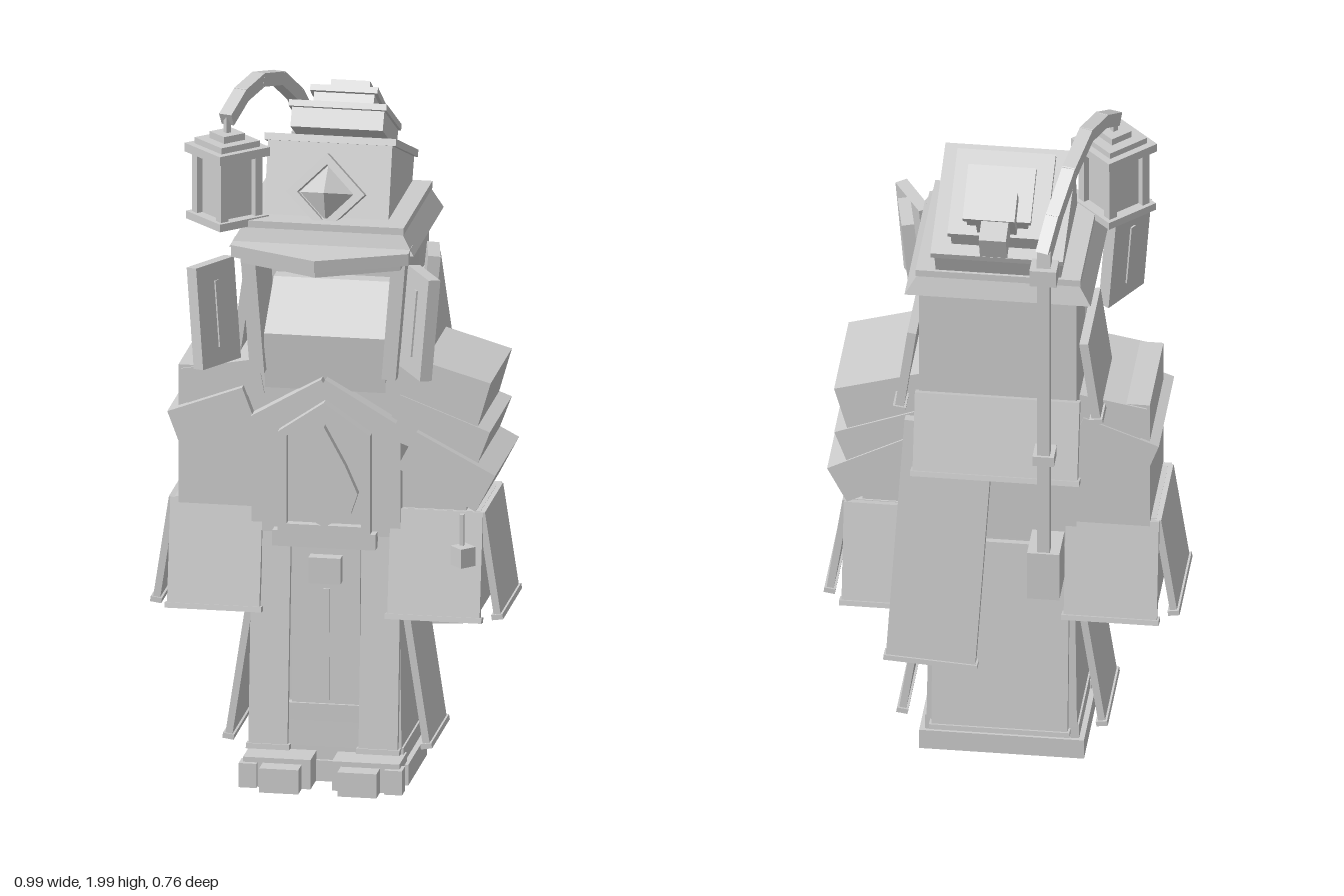
import * as THREE from 'three';

const stone = new THREE.MeshStandardMaterial({ color: 0xcccccc });
stone.name = 'light stone grey';

export function createModel() {
  const model = new THREE.Group();
  model.name = 'hoodedLanternKeeper';

  function add(name, geo, x = 0, y = 0, z = 0, rx = 0, ry = 0, rz = 0, parent = model) {
    const m = new THREE.Mesh(geo, stone);
    m.name = name;
    m.position.set(x, y, z);
    m.rotation.set(rx, ry, rz);
    parent.add(m);
    return m;
  }
  const box = (name, w, h, d, x, y, z, rx, ry, rz, parent) =>
    add(name, new THREE.BoxGeometry(w, h, d), x, y, z, rx, ry, rz, parent);

  // Box whose top has its own width and depth
  function frustum(w0, d0, w1, d1, h) {
    const g = new THREE.BoxGeometry(1, h, 1);
    const p = g.attributes.position;
    for (let i = 0; i < p.count; i++) {
      const top = p.getY(i) > 0;
      p.setX(i, p.getX(i) * (top ? w1 : w0));
      p.setZ(i, p.getZ(i) * (top ? d1 : d0));
    }
    g.computeVertexNormals();
    return g;
  }

  // Flat outline pushed out along z, with optional hole
  function plate(points, depth, hole) {
    const s = new THREE.Shape(points.map(p => new THREE.Vector2(...p)));
    if (hole) s.holes.push(new THREE.Path(hole.map(p => new THREE.Vector2(...p))));
    return new THREE.ExtrudeGeometry(s, { depth, bevelEnabled: false });
  }

  // Side outline given as [z, y], pushed along x and centred
  const sideProfile = (name, points, width) =>
    add(name, plate(points.map(([z, y]) => [-z, y]), width), -width / 2, 0, 0, 0, Math.PI / 2);

  // Square bar between two points
  function bar(name, a, b, t) {
    const A = new THREE.Vector3(...a), B = new THREE.Vector3(...b);
    const m = box(name, t, t, A.distanceTo(B) + t * 0.3, 0, 0, 0);
    m.position.copy(A).add(B).multiplyScalar(0.5);
    m.lookAt(B);
  }

  // Cloth panel hung from its top edge, with a hem along the bottom
  function panel(name, w, h, t, x, y, z, rx, ry, rz) {
    const g = new THREE.Group();
    g.name = name;
    g.position.set(x, y, z);
    g.rotation.set(rx, ry, rz);
    box(name + 'Cloth', w, h, t, 0, -h / 2, 0, 0, 0, 0, g);
    box(name + 'Hem', w + 0.012, 0.015, t + 0.012, 0, -h + 0.008, 0, 0, 0, 0, g);
    model.add(g);
  }

  // Base and feet
  box('base', 0.46, 0.06, 0.30, 0, 0.03, -0.01);
  box('baseStep', 0.43, 0.05, 0.28, 0, 0.08, -0.01);
  for (const s of [-1, 1]) {
    box('foot', 0.19, 0.085, 0.12, s * 0.125, 0.043, 0.165);
    box('toe', 0.11, 0.07, 0.08, s * 0.11, 0.036, 0.24);
    box('outerToe', 0.05, 0.07, 0.05, s * 0.205, 0.036, 0.215);
  }

  // Robe
  add('robe', frustum(0.42, 0.29, 0.40, 0.27, 0.68), 0, 0.44, -0.01);
  box('torso', 0.42, 0.48, 0.32, 0, 0.96, -0.01);
  for (const s of [-1, 1]) {
    panel('robeFrontPanel', 0.11, 0.62, 0.018, s * 0.155, 0.72, 0.135, -0.09, 0, 0);
    panel('robeSidePanel', 0.02, 0.50, 0.27, s * 0.205, 0.60, -0.01, 0, 0, s * 0.15);
  }
  panel('robeBackPanel', 0.38, 0.60, 0.02, 0, 0.70, -0.155, 0.08, 0, 0);
  box('apron', 0.19, 0.50, 0.03, 0, 0.47, 0.13, -0.03);
  box('apronSeam', 0.02, 0.32, 0.03, 0, 0.40, 0.138, -0.03);
  box('apronBand', 0.21, 0.05, 0.03, 0, 0.205, 0.145);
  box('beltBuckle', 0.09, 0.075, 0.04, 0, 0.62, 0.155);

  // Chest shrine with a gable and drop
  const frame = [[-0.13, 0.73], [0.13, 0.73], [0.13, 1.02], [0, 1.11], [-0.13, 1.02]];
  add('shrineBack', plate(frame, 0.03), 0, 0, 0.13);
  add('shrineFrame', plate(frame, 0.025,
    [[-0.105, 0.755], [0.105, 0.755], [0.105, 1.01], [0, 1.08], [-0.105, 1.01]]), 0, 0, 0.16);
  box('shrineSill', 0.29, 0.045, 0.07, 0, 0.712, 0.15);
  for (const s of [-1, 1])
    box('gable', 0.23, 0.04, 0.08, s * 0.095, 1.105, 0.155, 0, 0, -s * 0.53);
  const drop = k => [[0, 0.14], [0.06, 0.03], [0.095, -0.05], [0.075, -0.11], [0, -0.15],
    [-0.075, -0.11], [-0.095, -0.05], [-0.06, 0.03]].map(p => [p[0] * k, p[1] * k]);
  add('dropRim', plate(drop(1), 0.025, drop(0.75)), 0, 0.90, 0.16);
  add('drop', plate(drop(0.75), 0.015), 0, 0.90, 0.16);

  // Arms: stacked pads on the left, one straight sleeve on the right
  box('shoulderPad', 0.28, 0.15, 0.34, 0.31, 1.15, -0.01, 0, 0, -0.28);
  box('upperArmPad', 0.27, 0.13, 0.35, 0.315, 1.03, -0.01, 0, 0, -0.36);
  box('elbowPad', 0.25, 0.12, 0.38, 0.345, 0.93, 0, 0, 0, -0.48);
  box('leftForearm', 0.20, 0.36, 0.26, 0.29, 0.76, -0.01);
  box('rightUpperArm', 0.23, 0.40, 0.32, -0.30, 0.99, -0.01);
  box('rightShoulder', 0.22, 0.10, 0.33, -0.29, 1.15, -0.01, 0, 0, 0.18);
  box('rightElbowPad', 0.225, 0.12, 0.36, -0.315, 1.045, 0, 0, 0, 0.36);
  for (const s of [-1, 1]) {
    add('cuff', frustum(0.25, 0.30, 0.24, 0.27, 0.28), s * 0.31, 0.66, -0.01);
    panel('cuffFront', 0.26, 0.31, 0.02, s * 0.31, 0.80, 0.13, -0.18, 0, 0);
    panel('cuffBack', 0.26, 0.31, 0.02, s * 0.31, 0.80, -0.155, 0.18, 0, 0);
    panel('cuffOuter', 0.02, 0.31, 0.29, s * 0.435, 0.80, -0.01, 0, 0, s * 0.15);
  }
  // Charm hanging from the left sleeve
  box('charmCord', 0.012, 0.10, 0.012, 0.39, 0.76, 0.19);
  box('charm', 0.05, 0.055, 0.05, 0.395, 0.693, 0.2, 0, Math.PI / 4, 0);

  // Hood, open at the front
  box('hoodBack', 0.44, 0.40, 0.22, 0, 1.37, -0.135);
  for (const s of [-1, 1]) {
    box('hoodSide', 0.04, 0.38, 0.24, s * 0.2, 1.38, 0.08, 0, 0, -s * 0.08);
    panel('hoodFlap', 0.025, 0.26, 0.29, s * 0.24, 1.43, -0.105, 0, 0, s * 0.14);
    // Splayed shutter with a slot rib
    const sh = new THREE.Group();
    sh.name = 'shutter';
    sh.position.set(s * 0.29, 1.39, 0.295);
    sh.rotation.set(0, s * 0.54, s * -0.09, 'YXZ');
    box('shutterBoard', 0.035, 0.29, 0.16, 0, 0, 0, 0, 0, 0, sh);
    box('shutterRib', 0.045, 0.19, 0.018, 0, 0, 0, 0, 0, 0, sh);
    model.add(sh);
  }
  box('cheekBoard', 0.035, 0.21, 0.14, 0.295, 1.46, 0.16, 0, 0.2, -0.1);
  box('hoodCeiling', 0.40, 0.04, 0.24, 0, 1.55, 0.08);
  box('browLip', 0.37, 0.02, 0.04, 0, 1.525, 0.17);
  // Face mask below the opening, sloping back at the top
  sideProfile('faceMask', [[0.16, 1.14], [0.175, 1.30], [0.02, 1.42], [-0.04, 1.42], [-0.04, 1.14]], 0.34);
  // Cape at the nape and long banner on the back
  panel('neckCape', 0.46, 0.245, 0.025, 0, 1.24, -0.25, 0.24, 0, 0);
  panel('backBanner', 0.25, 0.76, 0.03, 0.14, 1.11, -0.20, 0.08, 0, 0.06);

  // Pointed brim and roof
  const brim = [[-0.25, -0.18], [-0.25, -0.25], [0, -0.34], [0.25, -0.25], [0.25, -0.18]];
  add('brim', plate(brim, 0.035), 0, 1.56, 0, -Math.PI / 2 + 0.08);
  add('brimTrim', plate(brim.map(p => [p[0] * 0.9, p[1] * 0.95]), 0.025), 0, 1.54, 0, -Math.PI / 2 + 0.08);
  add('eaves', frustum(0.52, 0.48, 0.45, 0.45, 0.06), 0, 1.59, -0.015);
  box('roofBand', 0.46, 0.02, 0.46, 0, 1.627, -0.015);
  sideProfile('hatCrown', [[0.145, 1.635], [-0.235, 1.635], [-0.27, 1.71], [0.08, 1.84]], 0.35);
  box('crownBoard', 0.37, 0.02, 0.38, 0, 1.775, -0.095, -0.37);
  box('hatTier', 0.26, 0.07, 0.25, 0, 1.815, -0.145, -0.5);
  box('tierBoard', 0.275, 0.018, 0.27, 0, 1.843, -0.155, -0.5);
  box('upperTier', 0.17, 0.07, 0.15, 0, 1.852, -0.195, -0.6);
  box('upperBoard', 0.19, 0.018, 0.165, 0, 1.878, -0.205, -0.6);
  box('hatNeck', 0.11, 0.10, 0.09, 0, 1.85, -0.255, -0.6);
  box('hatTip', 0.076, 0.08, 0.08, 0, 1.815, -0.325, -0.4);

  // Faceted diamond badge on the hat
  const badge = new THREE.Group();
  badge.name = 'diamondBadge';
  badge.position.set(0, 1.70, 0.125);
  badge.rotation.x = -0.3;
  const dia = r => [[0, -r], [r, 0], [0, r], [-r, 0]];
  add('badgeRim', plate(dia(0.11), 0.035, dia(0.08)), 0, 0, 0, 0, 0, 0, badge);
  const gem = new THREE.OctahedronGeometry(0.075);
  gem.scale(1, 1, 0.7);
  add('badgeGem', gem, 0, 0, 0.012, 0, 0, 0, badge);
  model.add(badge);

  // Lantern pole: block, mast, clamp and curved arm
  box('poleBlock', 0.09, 0.15, 0.12, -0.14, 0.725, -0.30);
  box('poleMast', 0.035, 0.95, 0.035, -0.14, 1.265, -0.335);
  box('poleClamp', 0.06, 0.03, 0.16, -0.14, 1.105, -0.28);
  box('poleCap', 0.075, 0.05, 0.065, -0.14, 1.715, -0.337);
  const arch = [[-0.14, 1.73, -0.335], [-0.14, 1.78, -0.33], [-0.16, 1.86, -0.27], [-0.19, 1.94, -0.16],
    [-0.22, 1.975, -0.02], [-0.25, 1.96, 0.08], [-0.275, 1.915, 0.165]];
  for (let i = 1; i < arch.length; i++) bar('poleArm', arch[i - 1], arch[i], 0.038);

  // Lantern turned corner-on
  const lamp = new THREE.Group();
  lamp.name = 'lantern';
  lamp.position.set(-0.275, 0, 0.165);
  lamp.rotation.y = Math.PI / 4;
  const part = (name, w, h, y) => box(name, w, h, w, 0, y, 0, 0, 0, 0, lamp);
  part('lanternHook', 0.015, 0.06, 1.89);
  part('lanternCap', 0.07, 0.025, 1.862);
  part('lanternTop', 0.13, 0.02, 1.845);
  part('lanternRoof', 0.17, 0.025, 1.825);
  part('lanternCore', 0.105, 0.19, 1.725);
  part('lanternFloor', 0.165, 0.022, 1.63);
  for (const x of [-1, 1]) for (const z of [-1, 1])
    box('lanternPost', 0.025, 0.18, 0.025, x * 0.058, 1.73, z * 0.058, 0, 0, 0, lamp);
  model.add(lamp);

  return model;
}
